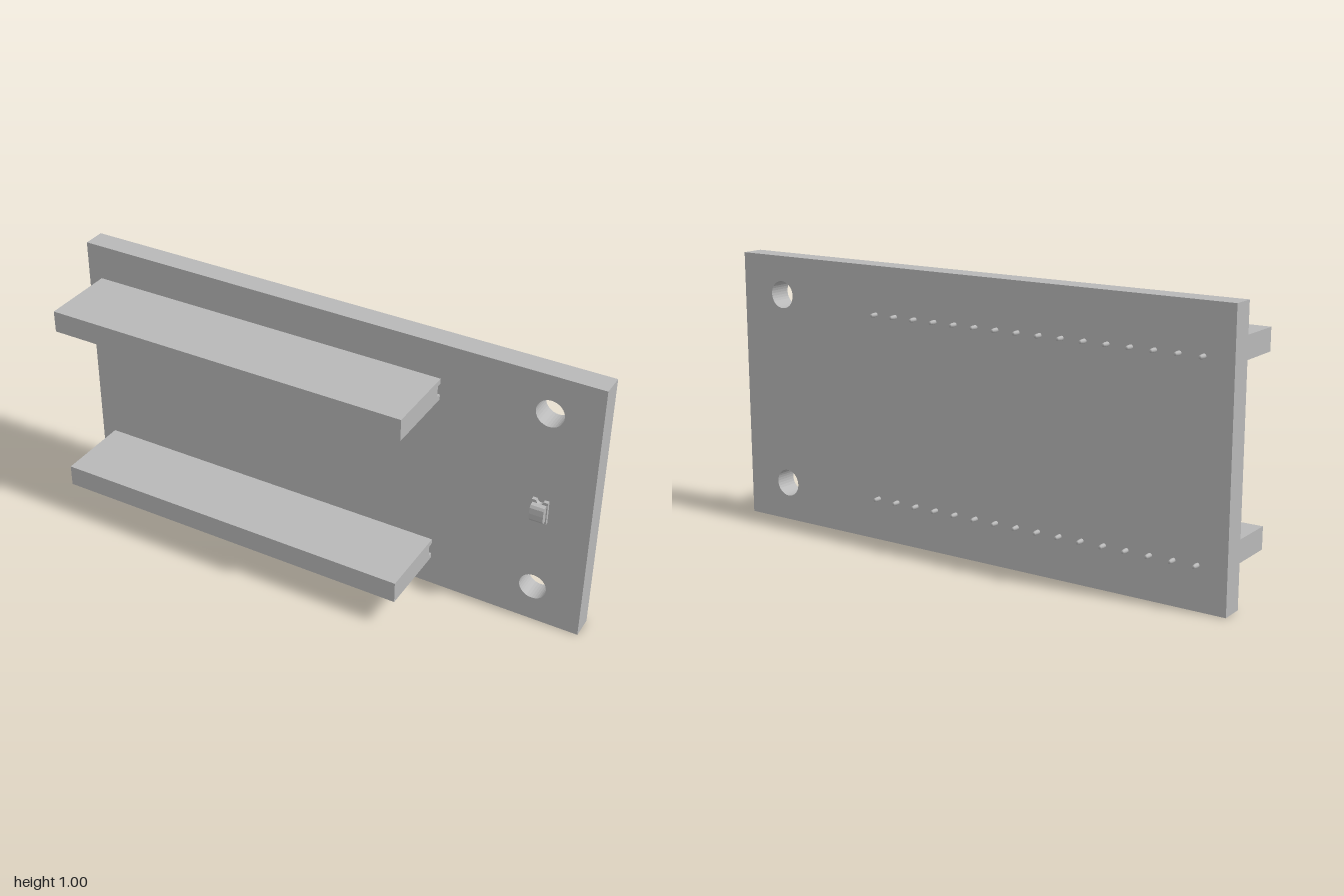
import * as THREE from 'three';

export function createModel() {
  const grey = new THREE.MeshStandardMaterial({ color: 0xb8b8b8 });
  grey.name = 'grey';
  const model = new THREE.Group();
  model.name = 'circuitBoard';

  const add = (parent, name, geometry, x = 0, y = 0, z = 0) => {
    const mesh = new THREE.Mesh(geometry, grey);
    mesh.name = name;
    mesh.position.set(x, y, z);
    parent.add(mesh);
    return mesh;
  };
  const polygon = (points) => new THREE.Shape(points.map(([x, y]) => new THREE.Vector2(x, y)));

  const boardBack = -0.169, boardFront = -0.085;

  // Board with two mounting holes
  const outline = polygon([[-1, 0], [1, 0], [1, 0.997], [-1, 0.997]]);
  for (const y of [0.142, 0.855]) {
    outline.holes.push(new THREE.Path().absarc(0.82, y, 0.05, 0, Math.PI * 2, true));
  }
  add(model, 'board', new THREE.ExtrudeGeometry(outline, {
    depth: boardFront - boardBack, bevelEnabled: false, curveSegments: 16,
  }), 0, 0, boardBack);

  // Header strip: a grooved profile (z, y) run along x
  const left = 0.431, right = -0.946;
  const profile = polygon([
    [boardFront, -0.0405], [0.198, -0.0405], [0.198, 0.0405], [boardFront, 0.0405],
    [boardFront, 0.021], [-0.066, 0.021], [-0.066, -0.021], [boardFront, -0.021],
  ]);
  const strip = new THREE.ExtrudeGeometry(profile, { depth: left - right, bevelEnabled: false });
  strip.rotateY(-Math.PI / 2);

  // Pin with a slightly narrowed tip behind the board
  const pin = new THREE.LatheGeometry([[0, -0.13], [0.006, -0.13], [0.008, -0.118], [0.008, 0], [0, 0]]
    .map(([r, h]) => new THREE.Vector2(r, h)), 10);
  pin.rotateX(Math.PI / 2);

  for (const [name, y] of [['lowerHeader', 0.1545], ['upperHeader', 0.8245]]) {
    const header = new THREE.Group();
    header.name = name;
    header.position.y = y;
    add(header, 'headerStrip', strip, left);
    for (let i = 0; i < 16; i++) add(header, 'pin', pin, -0.895 + i * 0.0852, 0, -0.065);
    model.add(header);
  }

  // Small lamp: base with a notch at each end, and a tapered lens
  const lamp = new THREE.Group();
  lamp.name = 'lamp';
  lamp.position.set(0.82, 0.473, boardFront);
  const w = 0.029, h = 0.044, notch = 0.013;
  const base = new THREE.Shape();
  base.moveTo(-w, -h);
  base.lineTo(-notch, -h);
  base.absarc(0, -h, notch, Math.PI, 0, true);
  base.lineTo(w, -h);
  base.lineTo(w, h);
  base.lineTo(notch, h);
  base.absarc(0, h, notch, 0, Math.PI, true);
  base.lineTo(-w, h);
  base.closePath();
  add(lamp, 'lampBase', new THREE.ExtrudeGeometry(base, { depth: 0.014, bevelEnabled: false, curveSegments: 6 }));

  const lensSide = polygon([
    [0.014, -0.033], [0.03, -0.031], [0.036, -0.022], [0.038, 0],
    [0.036, 0.022], [0.03, 0.031], [0.014, 0.033],
  ]);
  const lens = new THREE.ExtrudeGeometry(lensSide, { depth: 0.05, bevelEnabled: false });
  lens.rotateY(-Math.PI / 2);
  add(lamp, 'lampLens', lens, 0.025);
  model.add(lamp);

  return model;
}
